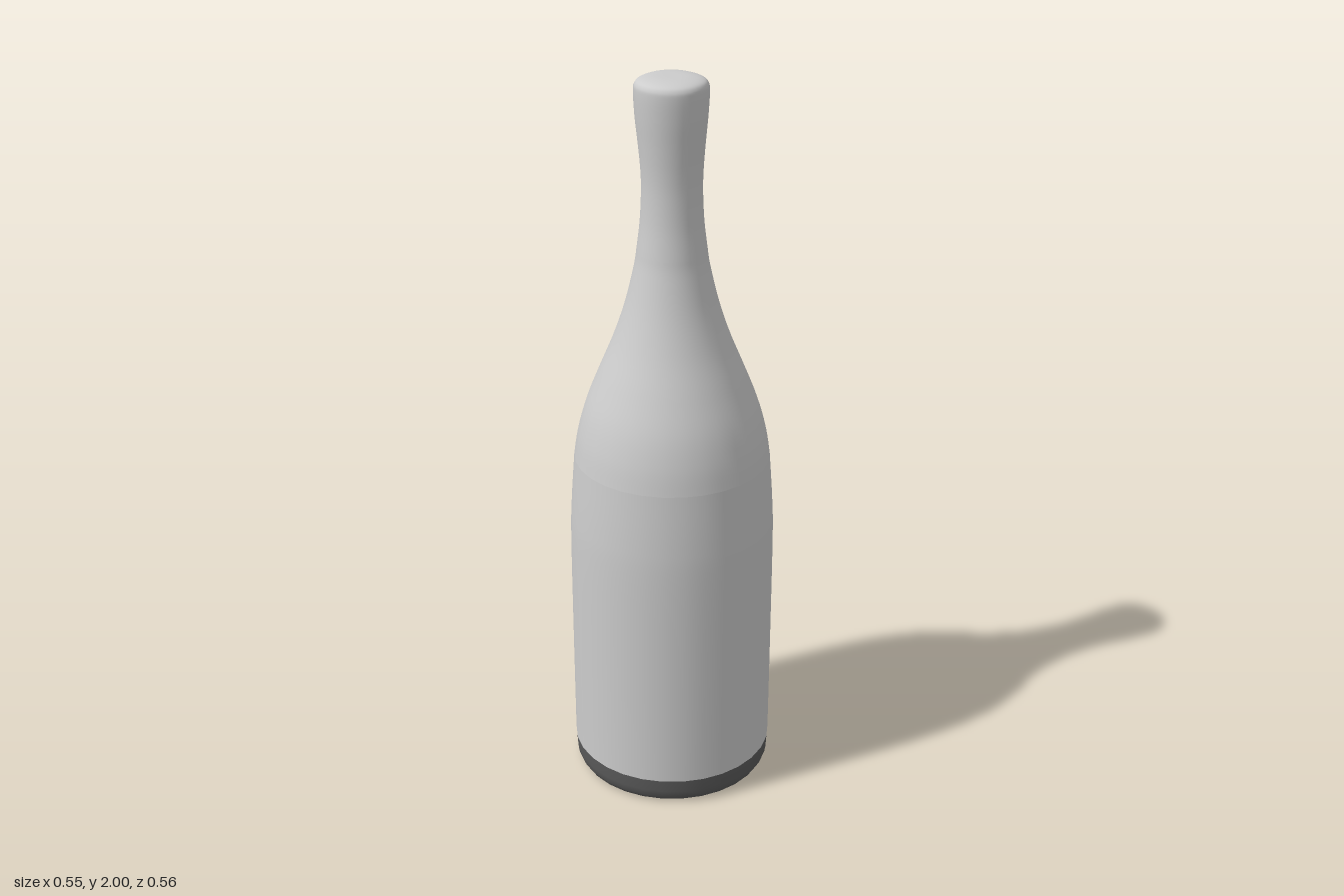
import * as THREE from 'three';

const SIDES = 30;

// Smooth curve through [radius, height] pairs
function smoothProfile(pairs, steps) {
  const curve = new THREE.SplineCurve(pairs.map(([r, y]) => new THREE.Vector2(r, y)));
  return curve.getPoints(steps).map((p) => new THREE.Vector2(Math.max(p.x, 0), p.y));
}

function turned(name, points, material) {
  const mesh = new THREE.Mesh(new THREE.LatheGeometry(points, SIDES), material);
  mesh.name = name;
  return mesh;
}

export function createModel() {
  const bottle = new THREE.Group();
  bottle.name = 'bottle';

  const paleGrey = new THREE.MeshStandardMaterial({ color: 0xcccccc });
  paleGrey.name = 'paleGrey';
  const darkGrey = new THREE.MeshStandardMaterial({ color: 0x5a5a5a });
  darkGrey.name = 'darkGrey';

  // Base: hollow punt underneath, standing ring and rounded heel
  const punt = smoothProfile([[0, 0.13], [0.08, 0.115], [0.15, 0.065], [0.19, 0.012]], 12);
  const heel = [[0.2, 0.003], [0.225, 0], [0.25, 0.001], [0.264, 0.008], [0.272, 0.022], [0.275, 0.04], [0.276, 0.075]]
    .map(([r, y]) => new THREE.Vector2(r, y));
  bottle.add(turned('base', [...punt, ...heel], darkGrey));

  // Straight body
  const body = smoothProfile([[0.277, 0.075], [0.278, 0.4], [0.278, 0.7], [0.274, 0.82], [0.264, 0.96]], 24);
  bottle.add(turned('body', body, paleGrey));

  // Sloping shoulder running into the neck
  const shoulder = smoothProfile([
    [0.264, 0.96], [0.253, 1.03], [0.232, 1.11], [0.197, 1.2], [0.156, 1.3],
    [0.123, 1.4], [0.099, 1.5], [0.092, 1.545],
  ], 36);
  bottle.add(turned('shoulder', shoulder, paleGrey));

  // Foil-wrapped neck and stopper with a domed top
  const foil = smoothProfile([
    [0.092, 1.545], [0.083, 1.62], [0.079, 1.7], [0.08, 1.76], [0.085, 1.83],
    [0.091, 1.9], [0.094, 1.96], [0.091, 1.982], [0.077, 1.993], [0.045, 1.999], [0, 2],
  ], 60);
  const neck = turned('neckFoil', foil, paleGrey);

  // Slightly uneven, hand-wrapped look near the top
  const pos = neck.geometry.attributes.position;
  for (let i = 0; i < pos.count; i++) {
    const x = pos.getX(i), y = pos.getY(i), z = pos.getZ(i);
    const amount = THREE.MathUtils.smoothstep(y, 1.72, 1.92);
    const angle = Math.atan2(z, x);
    const scale = 1 + amount * 0.018 * Math.cos(4 * angle + Math.PI);
    pos.setXYZ(i, x * scale - 0.002 * amount, y, z * scale);
  }
  bottle.add(neck);

  return bottle;
}
